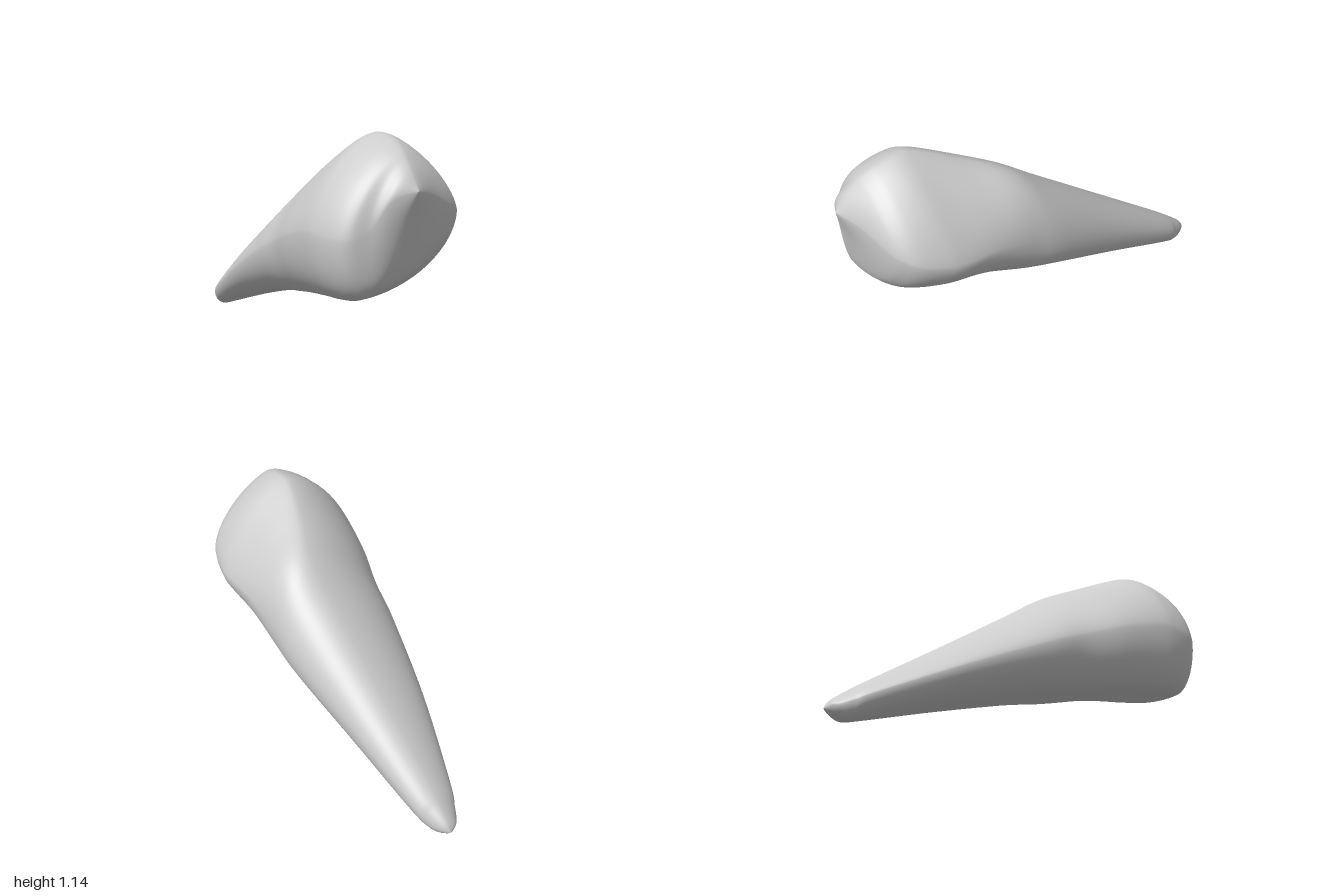
import * as THREE from 'three';

const { smoothstep, lerp } = THREE.MathUtils;

// Cross-sections from tail to nose:
// z, left (x, y), top y, right (x, y), bottom (x, y)
const SECTIONS = [
  [-1, 0.165, 0.05, 0.05, 0.165, 0.05, 0.165, 0.05],
  [-0.98, 0.12, 0.06, 0.085, 0.188, 0.06, 0.15, 0.032],
  [-0.95, 0.09, 0.06, 0.115, 0.208, 0.065, 0.14, 0.012],
  [-0.9, 0.06, 0.08, 0.155, 0.23, 0.08, 0.13, 0],
  [-0.8, 0.01, 0.13, 0.23, 0.262, 0.14, 0.12, 0.03],
  [-0.4, -0.135, 0.32, 0.515, 0.325, 0.35, 0.06, 0.16],
  [0, -0.245, 0.5, 0.805, 0.382, 0.54, -0.03, 0.275],
  [0.2, -0.285, 0.58, 0.95, 0.384, 0.62, -0.08, 0.315],
  [0.4, -0.35, 0.65, 1.04, 0.384, 0.68, -0.15, 0.355],
  [0.6, -0.39, 0.7, 1.125, 0.39, 0.7, -0.21, 0.385],
  [0.7, -0.395, 0.7, 1.137, 0.375, 0.72, -0.23, 0.395],
  [0.8, -0.375, 0.69, 1.11, 0.34, 0.75, -0.23, 0.41],
  [0.86, -0.335, 0.69, 1.075, 0.29, 0.78, -0.21, 0.45],
  [0.9, -0.25, 0.74, 1.04, 0.22, 0.81, -0.17, 0.53],
  [0.95, -0.17, 0.87, 0.985, 0.06, 0.88, -0.1, 0.75],
  [1, -0.065, 0.91, 0.91, -0.065, 0.91, -0.065, 0.91],
];
const RINGS = 105, SIDES = 64;

// The top ridge runs along the +x shoulder, then crosses over at the head
const ridgeX = (z) => 0.165 - 0.18 * smoothstep(z, 0.1, 0.65) - 0.05 * smoothstep(z, 0.7, 1);

// Smooth path through one extreme point of every section
function rail(pick) {
  const points = SECTIONS.map((s) => new THREE.Vector3(...pick(s), s[0]));
  return new THREE.CatmullRomCurve3(points, false, 'catmullrom', 0.5);
}

// Roundness of each quarter: 1 is an ellipse, 2 a straight bevel
function roundness(c, s, z) {
  const head = smoothstep(z, 0.1, 0.6);
  if (s >= 0) return c >= 0 ? lerp(1, 1.4, head) : 1.3;
  return c >= 0 ? lerp(0.9, 1.1, head) : 1;
}

// Skin of rounded rings, each built from four quarters
function bodyGeometry() {
  const rails = [
    rail((s) => [s[1], s[2]]),
    rail((s) => [ridgeX(s[0]), s[3]]),
    rail((s) => [s[4], s[5]]),
    rail((s) => [s[6], s[7]]),
  ];
  const positions = [], indices = [];
  for (let i = 0; i <= RINGS; i++) {
    const [left, top, right, bottom] = rails.map((r) => r.getPoint(i / RINGS));
    for (let j = 0; j < SIDES; j++) {
      const a = (j / SIDES) * Math.PI * 2;
      const c = Math.cos(a), s = Math.sin(a);
      const side = c >= 0 ? right : left;
      const cap = s >= 0 ? top : bottom;
      const e = roundness(c, s, left.z);
      positions.push(
        cap.x + (side.x - cap.x) * Math.abs(c) ** e,
        side.y + (cap.y - side.y) * Math.abs(s) ** e,
        left.z,
      );
      if (i === RINGS) continue;
      const p = i * SIDES + j, q = i * SIDES + ((j + 1) % SIDES);
      if (i > 0) indices.push(p, q, p + SIDES);
      if (i < RINGS - 1) indices.push(q, q + SIDES, p + SIDES);
    }
  }
  const geometry = new THREE.BufferGeometry();
  geometry.setAttribute('position', new THREE.Float32BufferAttribute(positions, 3));
  geometry.setIndex(indices);
  geometry.computeVertexNormals();
  return geometry;
}

export function createModel() {
  const group = new THREE.Group();
  group.name = 'taperedStone';
  const grey = new THREE.MeshStandardMaterial({ color: 0xcccccc });
  grey.name = 'light grey';
  const body = new THREE.Mesh(bodyGeometry(), grey);
  body.name = 'body';
  group.add(body);
  return group;
}
